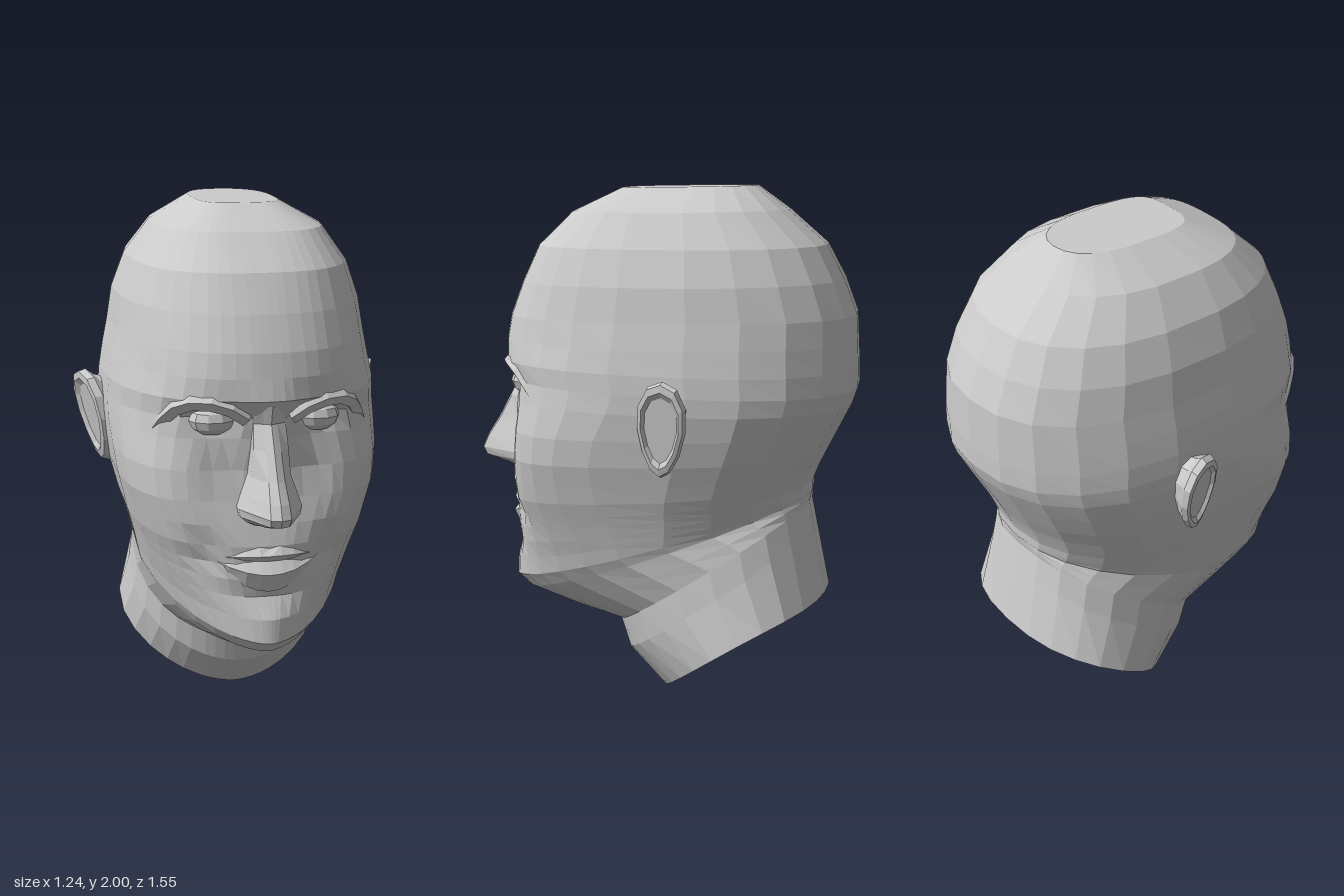
import * as THREE from 'three';

const material = new THREE.MeshStandardMaterial({ color: 0xcccccc, flatShading: true, side: THREE.DoubleSide });

function addMesh(parent, name, geometry) {
  const mesh = new THREE.Mesh(geometry, material);
  mesh.name = name;
  parent.add(mesh);
}

// Skins a list of closed rings of [x, y, z] points, with a start cap and an optional end cap
function loft(rings, { capEnd = true, flip = false } = {}) {
  const n = rings[0].length, pos = rings.flat(2), index = [];
  const tri = (a, b, c) => (flip ? index.push(a, c, b) : index.push(a, b, c));
  for (let r = 0; r < rings.length - 1; r++) {
    for (let i = 0; i < n; i++) {
      const j = (i + 1) % n, a = r * n, b = a + n;
      tri(a + i, b + i, b + j);
      tri(a + i, b + j, a + j);
    }
  }
  const cap = (r, end) => {
    const c = pos.length / 3;
    for (let k = 0; k < 3; k++) pos.push(rings[r].reduce((sum, p) => sum + p[k], 0) / n);
    for (let i = 0; i < n; i++) {
      const a = r * n + i, b = r * n + (i + 1) % n;
      end ? tri(c, b, a) : tri(c, a, b);
    }
  };
  cap(0, false);
  if (capEnd) cap(rings.length - 1, true);
  const g = new THREE.BufferGeometry();
  g.setAttribute('position', new THREE.Float32BufferAttribute(pos, 3));
  g.setIndex(index);
  const flat = g.toNonIndexed();
  flat.computeVertexNormals();
  return flat;
}

// Head and neck rings: front z, front y, back z, back y, half width, squareness of the front
const HEAD = [
  [0.15, 1.99, -0.37, 2.0, 0.16, 4],
  [0.34, 1.9, -0.49, 1.91, 0.32, 3],
  [0.48, 1.77, -0.64, 1.78, 0.415, 2.6],
  [0.55, 1.63, -0.71, 1.65, 0.465, 2.4],
  [0.6, 1.5, -0.76, 1.52, 0.485, 2.4],
  [0.615, 1.41, -0.765, 1.42, 0.505, 2.4],
  [0.615, 1.33, -0.77, 1.32, 0.52, 2.5],
  [0.59, 1.26, -0.77, 1.24, 0.525, 2.5],
  [0.565, 1.18, -0.75, 1.18, 0.525, 2.8],
  [0.555, 1.06, -0.71, 1.1, 0.515, 3.4],
  [0.56, 0.95, -0.665, 1.01, 0.5, 3.5],
  [0.575, 0.86, -0.63, 0.94, 0.48, 3.1],
  [0.585, 0.78, -0.61, 0.89, 0.465, 2.8],
  [0.588, 0.71, -0.6, 0.86, 0.45, 2.5],
  [0.59, 0.65, -0.6, 0.85, 0.44, 2.3],
  [0.595, 0.58, -0.6, 0.84, 0.43, 2.1],
  [0.61, 0.5, -0.6, 0.83, 0.42, 1.85],
  [0.62, 0.41, -0.6, 0.825, 0.41, 1.7],
  [0.57, 0.36, -0.597, 0.82, 0.4, 1.65],
  [0.36, 0.305, -0.595, 0.805, 0.395, 1.8],
  [0.165, 0.265, -0.59, 0.78, 0.39, 2],
  [0.13, 0.15, -0.61, 0.68, 0.4, 1.9],
  [-0.02, 0, -0.66, 0.42, 0.43, 1.8],
];
// Half a turn of column angles, closer together across the face
const HALF = [0, 0.05, 0.1, 0.2, 0.3, 0.4, 0.55, 0.72, 0.92, 1.15, 1.4, 1.7, 2, 2.3, 2.6, 2.88, Math.PI];
const ANGLES = [...HALF, ...HALF.slice(1, -1).reverse().map((t) => -t)];

// Soft dents and swellings: x, y, x radius, y radius, depth
const SCULPT = [
  [0.19, 1.24, 0.1, 0.06, -0.075], // eye socket
  [0, 1.33, 0.12, 0.05, 0.018], // space between the brows
  [0.17, 1.05, 0.09, 0.1, -0.025], // beside the nose
  [0, 0.77, 0.15, 0.06, 0.012], // muzzle
  [0.23, 0.74, 0.06, 0.07, -0.03], // corner of the mouth
  [0, 0.585, 0.14, 0.035, -0.02], // groove under the lip
  [0, 0.46, 0.12, 0.06, 0.015], // chin
  [0.43, 1.4, 0.06, 0.1, -0.015], // temple
];

function headRing([fz, fy, bz, by, w, front], row) {
  const c = bz + 0.48 * (fz - bz);
  const lift = row === HEAD.length - 1 ? 0.05 : 0; // neck edge rises at the sides
  return ANGLES.map((t) => {
    const cos = Math.cos(t), sin = Math.sin(t), e = 2 / (cos > 0 ? front : 2.3);
    const x = Math.sign(sin) * w * Math.abs(sin) ** e;
    let z = c + (cos > 0 ? fz - c : bz - c) * Math.abs(cos) ** e;
    const y = by + (fy - by) * (z - bz) / (fz - bz) + lift * sin * sin;
    if (cos > 0.3) {
      for (const [sx, sy, rx, ry, d] of SCULPT) {
        z += d * Math.exp(-(((Math.abs(x) - sx) / rx) ** 2) - ((y - sy) / ry) ** 2);
      }
    }
    return [x, y, z];
  });
}

// Nose sections: y, ridge z, ridge half width, base half width
function noseGeometry() {
  const sections = [
    [1.31, 0.625, 0.035, 0.07],
    [1.24, 0.605, 0.025, 0.06],
    [1.15, 0.655, 0.028, 0.065],
    [1.05, 0.71, 0.03, 0.075],
    [0.98, 0.757, 0.035, 0.1],
    [0.93, 0.78, 0.038, 0.118],
    [0.9, 0.765, 0.035, 0.112],
    [0.88, 0.7, 0.035, 0.09],
    [0.865, 0.63, 0.03, 0.06],
  ];
  return loft(sections.map(([y, z, r, b]) => {
    const side = Math.min(0.6, z - 0.03);
    return [[0, y, z], [r, y, z - 0.015], [b, y, side], [b, y, 0.48], [-b, y, 0.48], [-b, y, side], [-r, y, z - 0.015]];
  }));
}

// A lip swept from corner to corner
function lipGeometry(top, front, bottom, out) {
  const rings = [-1, -0.75, -0.45, -0.2, 0, 0.2, 0.45, 0.75, 1].map((s) => {
    const x = 0.2 * s, k = s * s, z = 0.595 - 0.07 * k;
    const mix = (y) => y + (0.73 - y) * k * 0.85;
    const dip = s === 0 && top > 0.75 ? 0.012 : 0;
    return [[x, mix(top) - dip, z], [x, mix(front), z - 0.07], [x, mix(bottom), z], [x, mix(front), z + out * (1 - 0.7 * k)]];
  });
  return loft(rings);
}

// Ear: root, back of the rim, outer rim, then the shallow bowl
function earGeometry(s) {
  const layers = [[0.8, -0.1], [0.88, -0.05], [1, -0.025], [0.95, 0.005], [0.8, 0.01], [0.68, -0.005]];
  const rings = layers.map(([size, dx]) => Array.from({ length: 12 }, (_, i) => {
    const a = (i / 12) * Math.PI * 2;
    const v = Math.sin(a) * size, u = Math.cos(a) * size * (1 + 0.25 * Math.sin(a));
    const x = 0.56 + 0.042 * v - 0.035 * u + dx;
    return [s * x, 1.135 + 0.185 * v, -0.145 + 0.1 * u - 0.015 * v];
  }));
  return loft(rings, { flip: s < 0 });
}

// Brow fold arching over the eye and down to its outer corner
function browGeometry(s) {
  const path = [[0.08, 1.26, 0.56], [0.15, 1.305, 0.57], [0.25, 1.325, 0.545], [0.33, 1.29, 0.475], [0.38, 1.2, 0.39]];
  const curve = new THREE.CatmullRomCurve3(path.map(([x, y, z]) => new THREE.Vector3(s * x, y, z)));
  return new THREE.TubeGeometry(curve, 6, 0.033, 5);
}

export function createModel() {
  const model = new THREE.Group();
  model.name = 'head';

  addMesh(model, 'skullFaceAndNeck', loft(HEAD.map(headRing), { capEnd: false }));
  addMesh(model, 'nose', noseGeometry());
  addMesh(model, 'upperLip', lipGeometry(0.785, 0.75, 0.72, 0.03));
  addMesh(model, 'lowerLip', lipGeometry(0.728, 0.68, 0.605, 0.036));

  for (const [side, s] of [['left', 1], ['right', -1]]) {
    addMesh(model, side + 'Ear', earGeometry(s));
    addMesh(model, side + 'Brow', browGeometry(s));
    const eye = new THREE.SphereGeometry(1, 10, 6);
    eye.scale(0.088, 0.058, 0.07).translate(s * 0.195, 1.245, 0.495);
    addMesh(model, side + 'Eye', eye);
  }
  return model;
}
